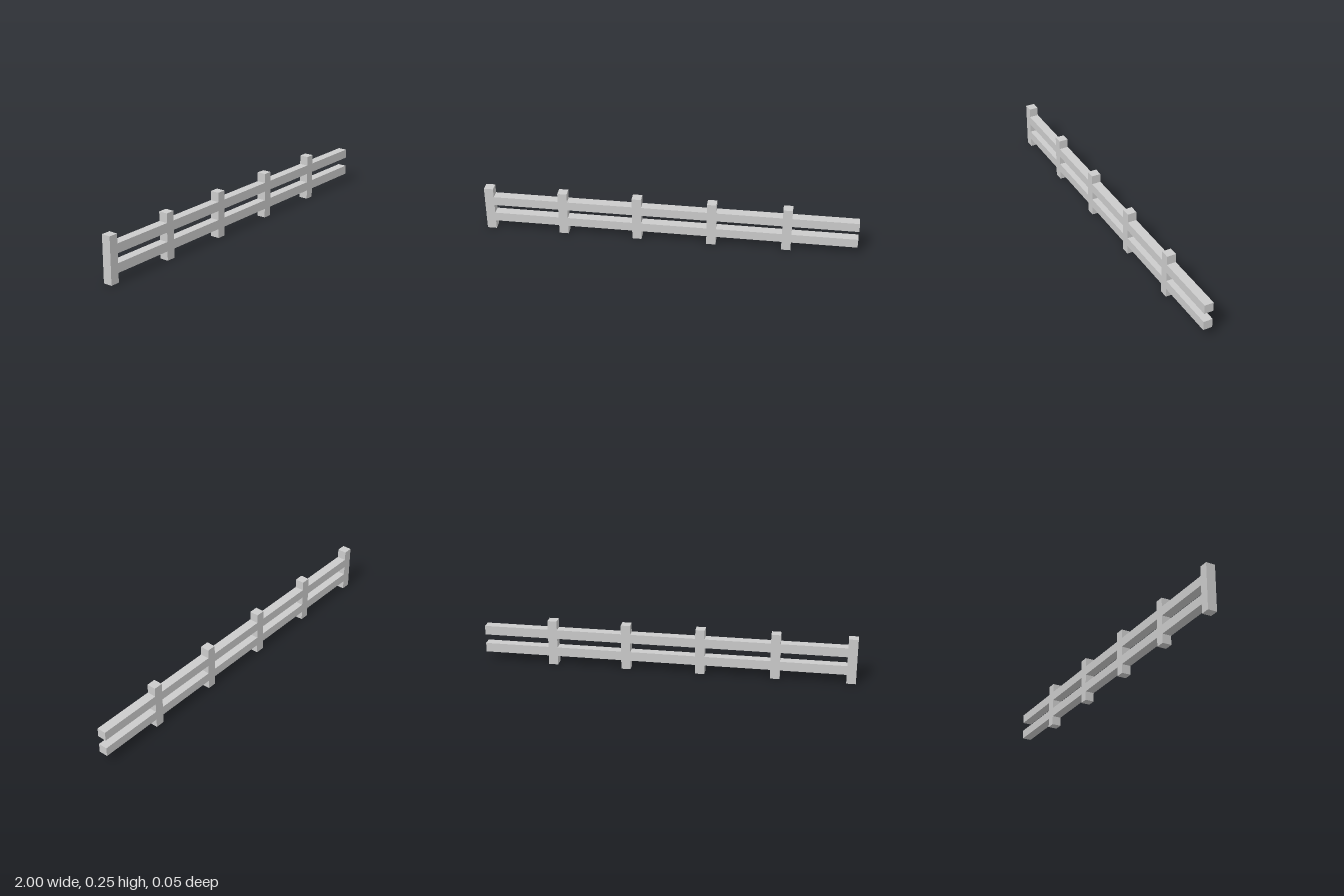
import * as THREE from 'three';

const T = 0.05;      // timber thickness
const HEIGHT = 0.25; // post height
const BAYS = 5;
const PITCH = 2 / BAYS;

export function createModel() {
  const fence = new THREE.Group();
  fence.name = 'fence';
  const material = new THREE.MeshStandardMaterial({ color: 0xcccccc, flatShading: true });
  const postGeometry = new THREE.BoxGeometry(T, HEIGHT, T);
  const railGeometry = new THREE.BoxGeometry(PITCH - T, T, T);

  const add = (parent, name, geometry, x, y) => {
    const mesh = new THREE.Mesh(geometry, material);
    mesh.name = name;
    mesh.position.set(x, y, 0);
    parent.add(mesh);
  };

  // Each bay: one post with two flush rails running to the next post
  for (let i = 0; i < BAYS; i++) {
    const bay = new THREE.Group();
    bay.name = `bay${i + 1}`;
    bay.position.x = -1 + i * PITCH;
    add(bay, 'post', postGeometry, T / 2, HEIGHT / 2);
    add(bay, 'lowerRail', railGeometry, (PITCH + T) / 2, 0.075);
    add(bay, 'upperRail', railGeometry, (PITCH + T) / 2, 0.175);
    fence.add(bay);
  }
  return fence;
}
